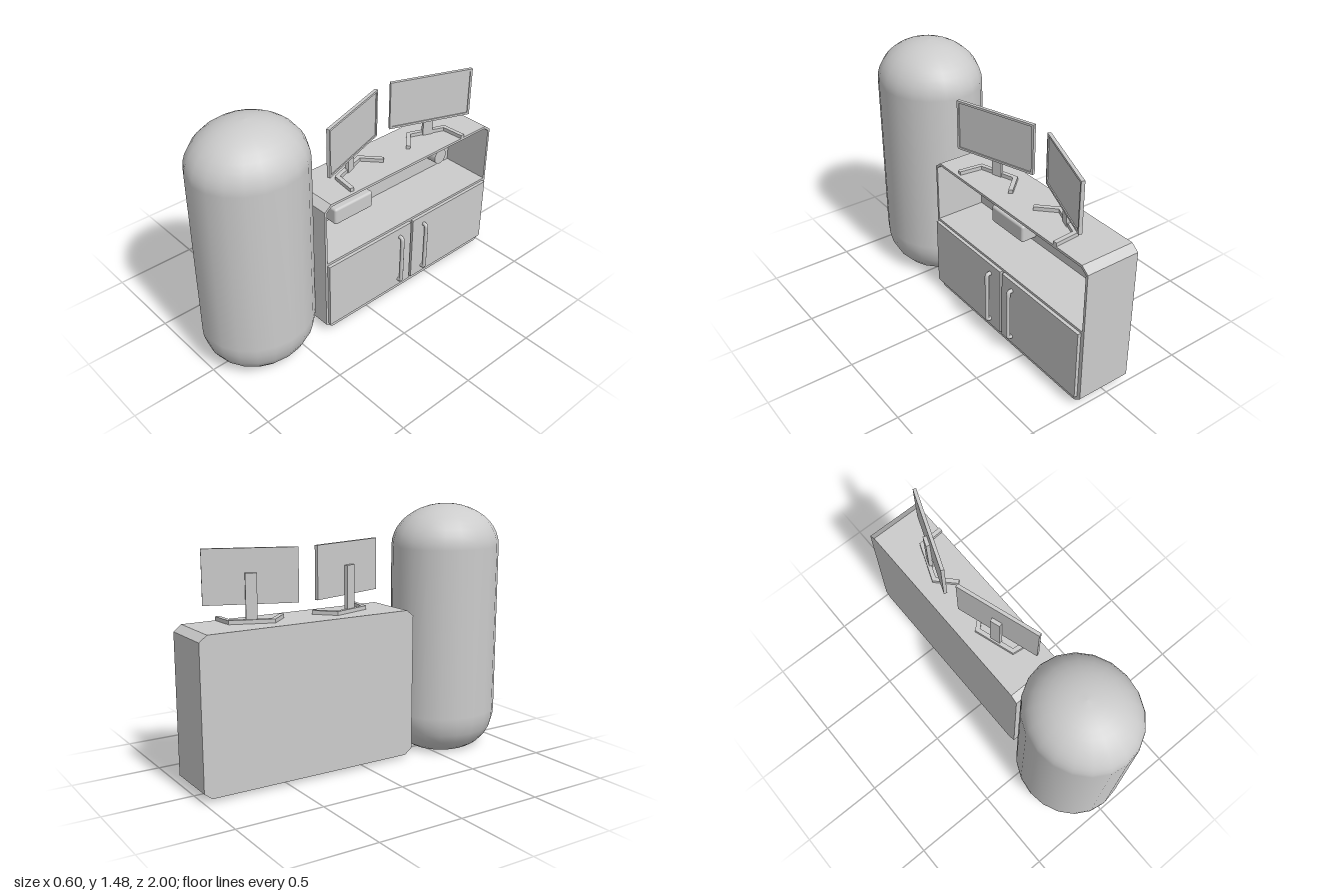
import * as THREE from 'three';
import { RoundedBoxGeometry } from 'three/addons/geometries/RoundedBoxGeometry.js';

const grey = new THREE.MeshStandardMaterial({ color: 0xcccccc });

function add(parent, name, geometry, x = 0, y = 0, z = 0) {
  const mesh = new THREE.Mesh(geometry, grey);
  mesh.name = name;
  mesh.position.set(x, y, z);
  parent.add(mesh);
  return mesh;
}

const vec2s = (pts) => pts.map(([x, y]) => new THREE.Vector2(x, y));

// Side profile drawn in (-z, y), extruded from x0 to x1
function extrudeX(shape, x0, x1) {
  const g = new THREE.ExtrudeGeometry(shape, { depth: x1 - x0, bevelEnabled: false });
  g.rotateY(Math.PI / 2);
  g.translate(x0, 0, 0);
  return g;
}

function makeCapsule() {
  const capsule = new THREE.Group();
  capsule.name = 'capsule';
  const profile = [[0.175, 0], [0.215, 0.025], [0.255, 0.07], [0.282, 0.12], [0.297, 0.18], [0.3, 0.23]];
  for (let i = 0; i <= 10; i++) {
    const a = (i / 10) * Math.PI / 2;
    profile.push([i === 10 ? 0 : 0.3 * Math.cos(a), 1.23 + 0.25 * Math.sin(a)]);
  }
  add(capsule, 'capsuleBody', new THREE.LatheGeometry(vec2s(profile), 20));
  add(capsule, 'capsuleBase', new THREE.CircleGeometry(0.175, 20).rotateX(Math.PI / 2));
  capsule.scale.z = 1.11;
  capsule.position.z = 0.667;
  return capsule;
}

function makeCabinet() {
  const cabinet = new THREE.Group();
  cabinet.name = 'cabinet';

  // Carcass with chamfered ends and an open niche above the doors
  const outline = vec2s([
    [-0.285, 0.02], [0.955, 0.02], [1, 0.055], [1, 0.855],
    [0.955, 0.89], [-0.285, 0.89], [-0.33, 0.855], [-0.33, 0.055],
  ]);
  const frame = new THREE.Shape(outline);
  frame.holes.push(new THREE.Path(vec2s([
    [-0.315, 0.5], [-0.315, 0.848], [-0.28, 0.875], [0.95, 0.875], [0.985, 0.848], [0.985, 0.5],
  ])));
  add(cabinet, 'cabinetFrame', extrudeX(frame, -0.12, 0.19));
  add(cabinet, 'backPanel', extrudeX(new THREE.Shape(outline), -0.14, -0.12));

  // Doors and bar handles
  for (const [doorZ, handleZ] of [[-0.003, -0.23], [-0.658, -0.43]]) {
    add(cabinet, 'door', new THREE.BoxGeometry(0.02, 0.425, 0.638), 0.2, 0.273, doorZ);
    const path = new THREE.CurvePath();
    const p = (x, y) => new THREE.Vector3(x, y, 0);
    path.add(new THREE.LineCurve3(p(0.2, 0.105), p(0.218, 0.105)));
    path.add(new THREE.QuadraticBezierCurve3(p(0.218, 0.105), p(0.234, 0.105), p(0.234, 0.125)));
    path.add(new THREE.LineCurve3(p(0.234, 0.125), p(0.234, 0.405)));
    path.add(new THREE.QuadraticBezierCurve3(p(0.234, 0.405), p(0.234, 0.425), p(0.218, 0.425)));
    path.add(new THREE.LineCurve3(p(0.218, 0.425), p(0.2, 0.425)));
    add(cabinet, 'doorHandle', new THREE.TubeGeometry(path, 80, 0.012, 10), 0, 0, handleZ);
  }

  // Fittings on the niche's back wall
  add(cabinet, 'wallBox', new RoundedBoxGeometry(0.11, 0.11, 0.295, 3, 0.015), -0.075, 0.583, -0.075);
  add(cabinet, 'wallKnob', new THREE.CylinderGeometry(0.05, 0.05, 0.08, 24).rotateZ(Math.PI / 2), -0.085, 0.615, -0.83);
  return cabinet;
}

// Monitor facing local +x, standing on y = 0
function makeMonitor(x, z, turn) {
  const monitor = new THREE.Group();
  monitor.name = 'monitor';

  // Casing with a slightly recessed screen
  const w = 0.257, b = 0.244;
  const bezel = new THREE.Shape(vec2s([[-w, 0.1], [w, 0.1], [w, 0.4], [-w, 0.4]]));
  bezel.holes.push(new THREE.Path(vec2s([[-b, 0.113], [-b, 0.387], [b, 0.387], [b, 0.113]])));
  add(monitor, 'bezel', extrudeX(bezel, -0.01, 0.01));
  add(monitor, 'screen', new THREE.BoxGeometry(0.014, 0.28, 0.494), -0.003, 0.25, 0);

  // Neck and three-bar foot with splayed legs
  add(monitor, 'neck', new THREE.BoxGeometry(0.022, 0.27, 0.062), -0.021, 0.135, 0);
  const foot = new THREE.Shape(vec2s([
    [-0.042, -0.125], [0.095, -0.188], [0.106, -0.165], [-0.017, -0.108],
    [-0.017, 0.108], [0.106, 0.165], [0.095, 0.188], [-0.042, 0.125],
  ]));
  const g = new THREE.ExtrudeGeometry(foot, { depth: 0.022, bevelEnabled: false });
  add(monitor, 'foot', g.rotateX(-Math.PI / 2));

  monitor.position.set(x, 0.89, z);
  monitor.rotation.y = turn;
  return monitor;
}

export function createModel() {
  const model = new THREE.Group();
  model.name = 'workstation';
  model.add(makeCapsule(), makeCabinet());
  model.add(makeMonitor(0.022, -0.022, 0.306), makeMonitor(0.033, -0.62, -0.37));
  return model;
}
